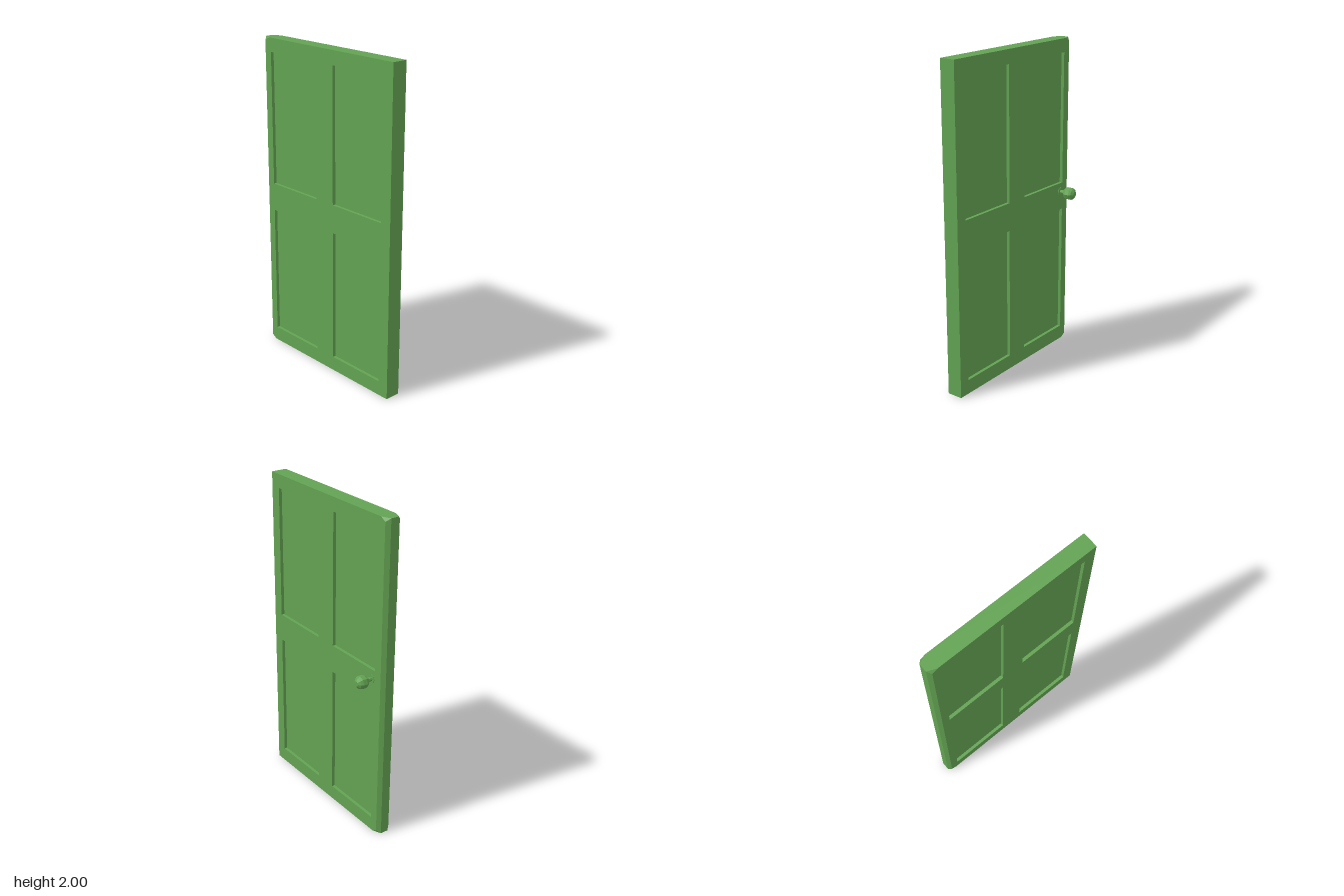
import * as THREE from 'three';
import { ConvexGeometry } from 'three/addons/geometries/ConvexGeometry.js';

const X0 = -0.105, X1 = -0.008;   // the two faces of the door
const HEIGHT = 2, HINGE_Z = 0.545, EDGE_Z = -0.49;
const RECESS = 0.02;

export function createModel() {
  const green = new THREE.MeshStandardMaterial({ color: 0x62a252, flatShading: true });
  const model = new THREE.Group();
  model.name = 'door';

  const add = (name, geometry, parent = model) => {
    const mesh = new THREE.Mesh(geometry, green);
    mesh.name = name;
    parent.add(mesh);
    return mesh;
  };

  const rect = (Type, x0, y0, x1, y1) => {
    const p = new Type();
    p.moveTo(x0, y0);
    p.lineTo(x1, y0);
    p.lineTo(x1, y1);
    p.lineTo(x0, y1);
    p.closePath();
    return p;
  };

  // Frame of stiles and rails: drawn in (-z, y), extruded through the thickness
  const outline = rect(THREE.Shape, -HINGE_Z, 0, -EDGE_Z, HEIGHT);
  for (const [z0, z1] of [[-0.475, -0.073], [0.073, 0.475]]) {
    for (const [y0, y1] of [[0.09, 0.915], [1.09, 1.915]]) {
      outline.holes.push(rect(THREE.Path, z0, y0, z1, y1));

      // Sunken panel closing the opening, set back from both faces
      const panel = add('panel', new THREE.BoxGeometry(X1 - X0 - 2 * RECESS, y1 - y0, z1 - z0));
      panel.position.set((X0 + X1) / 2, (y0 + y1) / 2, -(z0 + z1) / 2);
    }
  }
  const frame = new THREE.ExtrudeGeometry(outline, { depth: X1 - X0, bevelEnabled: false });
  frame.rotateY(Math.PI / 2).translate(X0, 0, 0);
  add('frame', frame);

  // Chamfered closing edge with clipped corners at top and bottom
  const corners = [];
  for (const [outer, inner] of [[X0, -0.082], [X1, -0.031]]) {
    for (const [end, inset] of [[0, 0.02], [HEIGHT, -0.02]]) {
      corners.push(
        new THREE.Vector3(outer, end, EDGE_Z),
        new THREE.Vector3(outer, end + inset, -0.525),
        new THREE.Vector3(inner, end, -0.545)
      );
    }
  }
  add('closingEdge', new ConvexGeometry(corners));

  // Knob: turned parts whose axis points along +x
  const knob = new THREE.Group();
  knob.name = 'knob';
  knob.position.set(0, 1.035, -0.45);
  model.add(knob);

  const turned = (name, profile) => {
    const points = profile.map(([r, x]) => new THREE.Vector2(r, x));
    add(name, new THREE.LatheGeometry(points, 8).rotateZ(-Math.PI / 2), knob);
  };
  turned('knobPlate', [[0, -0.004], [0.027, -0.004], [0.027, 0], [0, 0]]);
  turned('knobStem', [[0.013, -0.001], [0.013, 0.03]]);
  turned('knobBall', [
    [0, 0.026], [0.016, 0.026], [0.033, 0.038], [0.04, 0.052],
    [0.04, 0.079], [0.033, 0.093], [0.016, 0.105], [0, 0.105]
  ]);

  return model;
}
